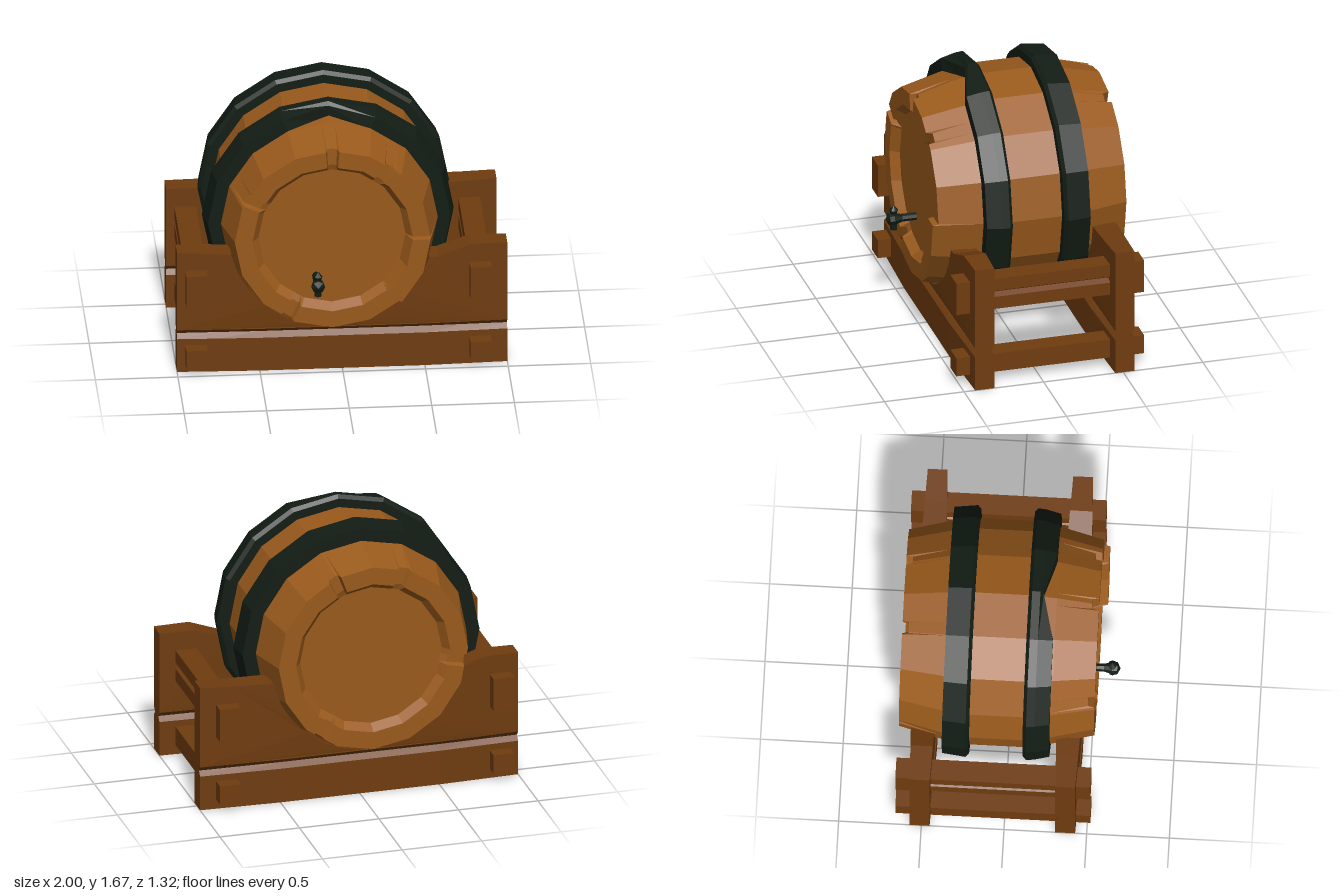
import * as THREE from 'three';

const paint = (color) => new THREE.MeshStandardMaterial({ color, flatShading: true });
const barrelWood = paint(0x9a5a1c), standWood = paint(0x6f3c0f), iron = paint(0x121c14);
const CX = -0.065, CY = 0.905, STEP = 22.5;

function add(parent, name, geometry, material, x = 0, y = 0, z = 0) {
  const mesh = new THREE.Mesh(geometry, material);
  mesh.name = name;
  mesh.position.set(x, y, z);
  parent.add(mesh);
  return mesh;
}

// Sixteen-sided solid around z. Each profile entry is [radius, z, optional z shift by angle].
function staved(profile, extraAngles = [], closed = false) {
  const base = Array.from({ length: 16 }, (_, i) => i * STEP);
  const angles = [...new Set([...base, ...extraAngles.map((a) => (a + 360) % 360)])].sort((a, b) => a - b);
  const n = angles.length, rows = profile.length, pos = [], idx = [];
  for (const [r, z, shift] of profile) {
    for (const a of angles) {
      const off = (a % STEP) - STEP / 2;
      const k = r * Math.cos(STEP / 2 * Math.PI / 180) / Math.cos(off * Math.PI / 180);
      const t = a * Math.PI / 180;
      pos.push(k * Math.cos(t), k * Math.sin(t), z + (shift ? shift(a) : 0));
    }
  }
  for (let i = 0; i < (closed ? rows : rows - 1); i++) {
    for (let j = 0; j < n; j++) {
      const i2 = (i + 1) % rows, j2 = (j + 1) % n;
      const a = i * n + j, b = i2 * n + j, c = i2 * n + j2, d = i * n + j2;
      idx.push(a, b, c, a, c, d);
    }
  }
  const g = new THREE.BufferGeometry();
  g.setAttribute('position', new THREE.Float32BufferAttribute(pos, 3));
  g.setIndex(idx);
  const flat = g.toNonIndexed();
  flat.computeVertexNormals();
  return flat;
}

const polygon = (pts) => new THREE.Shape(pts.map(([x, y]) => new THREE.Vector2(x, y)));

// Thickens a board towards its middle
function swell(g) {
  const p = g.attributes.position;
  for (let i = 0; i < p.count; i++) {
    p.setZ(i, p.getZ(i) * (1 + 0.6 * Math.min(0.5, 1 - Math.abs(p.getX(i)))));
  }
  g.computeVertexNormals();
  return g;
}

// Cradle board: pinched lower plank and an upper plank cut to the barrel
function cradle(name, cx) {
  const group = new THREE.Group();
  group.name = name;
  const section = polygon([[-0.06, 0], [0.06, 0], [0.06, 0.22], [0.035, 0.25], [0.06, 0.28],
    [-0.06, 0.28], [-0.035, 0.25], [-0.06, 0.22]]);
  const lower = new THREE.ExtrudeGeometry(section, { depth: 2, steps: 8, bevelEnabled: false });
  lower.rotateY(Math.PI / 2).translate(-1, 0, 0);
  add(group, 'lowerPlank', swell(lower), standWood);

  const outline = [[-1, 0.28], [1, 0.28], [1, 0.8], [0.78, 0.8], [0.58, 0.725]];
  for (let i = 0; i <= 12; i++) {
    const t = (-17 - i * 151.5 / 12) * Math.PI / 180;
    outline.push([cx + 0.62 * Math.cos(t), CY + 0.62 * Math.sin(t)]);
  }
  outline.push([-0.8, 0.79], [-1, 0.8]);
  const upper = new THREE.ExtrudeGeometry(polygon(outline), { depth: 0.12, bevelEnabled: false });
  add(group, 'upperPlank', swell(upper.translate(0, 0, -0.06)), standWood);
  return group;
}

export function createModel() {
  const model = new THREE.Group();
  model.name = 'barrelOnStand';

  // Barrel body with chipped rims, recessed heads and one proud stave
  const barrel = new THREE.Group();
  barrel.name = 'barrel';
  barrel.position.set(CX, CY, 0);
  model.add(barrel);
  const frontChips = [90, 152, 242, 53], backChips = [110, 66, 188, 305];
  const edges = [...frontChips, ...backChips].flatMap((a) => [a - 4, a - 3, a + 3, a + 4]);
  const chipped = (chips, a) => chips.some((c) => Math.abs(a - c) < 3.5);
  const frontRim = (a) => chipped(frontChips, a) ? -0.04 : (a > 314 && a < 359.7 ? 0.035 : 0);
  const backRim = (a) => chipped(backChips, a) ? 0.04 : 0;
  add(barrel, 'barrelBody', staved([
    [0, 0.47], [0.445, 0.47], [0.485, 0.525, frontRim], [0.592, 0.525, frontRim],
    [0.655, 0.27], [0.685, 0.1], [0.685, -0.23], [0.662, -0.39],
    [0.595, -0.655, backRim], [0.485, -0.655, backRim], [0.445, -0.6], [0, -0.6],
  ], [...edges, 313.5, 314.5, 359.5]), barrelWood);

  // Iron hoops
  const nick = (a) => (a === 90 ? -0.07 : 0);
  add(barrel, 'frontHoop', staved([[0.64, 0.26, nick], [0.735, 0.26, nick], [0.757, 0.17],
    [0.762, 0.12], [0.74, 0.1], [0.65, 0.1]], [], true), iron);
  add(barrel, 'backHoop', staved([[0.65, -0.225], [0.74, -0.225], [0.762, -0.245],
    [0.745, -0.388], [0.64, -0.388]], [], true), iron);

  // Tap
  const tap = new THREE.Group();
  tap.name = 'tap';
  tap.position.set(-0.16, 0.64, 0.61);
  model.add(tap);
  const lathe = (pts) => new THREE.LatheGeometry(pts.map(([x, y]) => new THREE.Vector2(x, y)), 8);
  add(tap, 'tapSpout', lathe([[0, -0.14], [0.025, -0.14], [0.025, -0.05], [0.04, 0], [0.04, 0.03], [0, 0.05]])
    .rotateX(Math.PI / 2), iron);
  add(tap, 'tapHandle', lathe([[0, -0.07], [0.022, -0.07], [0.022, 0.045], [0.028, 0.06], [0, 0.09]]), iron);

  // Front and back cradle boards
  const front = cradle('frontCradle', CX);
  front.position.z = 0.37;
  const back = cradle('backCradle', -CX);
  back.position.z = -0.51;
  back.rotation.y = Math.PI;
  model.add(front, back);

  // Side rails with pegged ends
  const grooved = polygon([[-0.065, -0.1], [0.065, -0.1], [0.065, -0.02], [0.03, 0], [0.065, 0.02],
    [0.065, 0.1], [-0.065, 0.1], [-0.065, 0.02], [-0.03, 0], [-0.065, -0.02]]);
  for (const [side, x] of [['left', 0.835], ['right', -0.885]]) {
    const rail = new THREE.ExtrudeGeometry(grooved, { depth: 0.84, bevelEnabled: false });
    add(model, side + 'UpperRail', rail, standWood, x, 0.58, -0.49);
    for (const [end, z] of [['Front', 0.445], ['Back', -0.585]]) {
      add(model, side + end + 'Peg', new THREE.BoxGeometry(0.13, 0.21, 0.15), standWood, x, 0.575, z);
    }
    add(model, side + 'LowerRail', new THREE.BoxGeometry(0.13, 0.12, 1.18), standWood, x, 0.12, -0.07);
  }
  return model;
}
